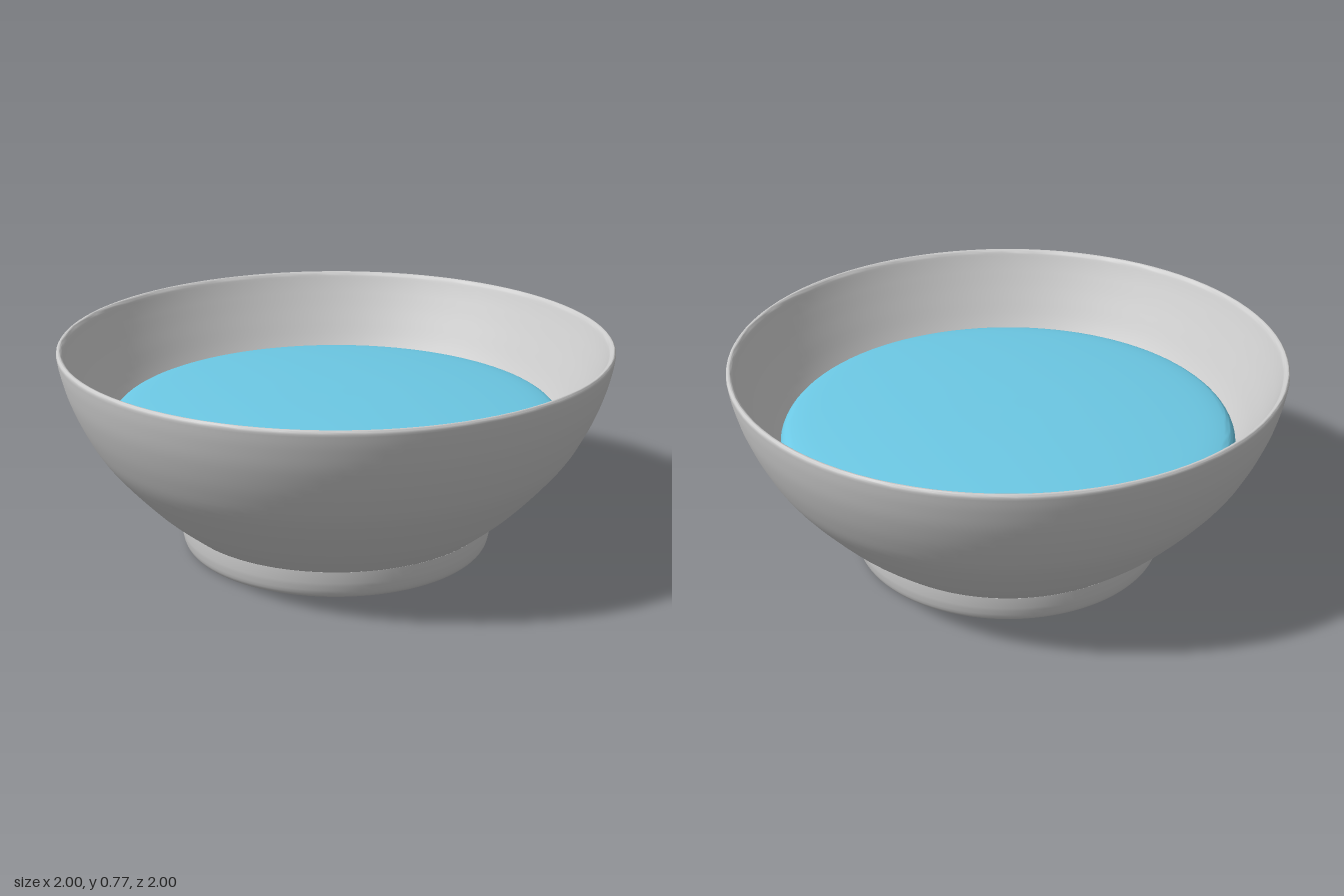
import * as THREE from 'three';
import { toCreasedNormals } from 'three/addons/utils/BufferGeometryUtils.js';

const SIDES = 96;
const v = ([x, y]) => new THREE.Vector2(x, y);
const smooth = (pts, n) => new THREE.SplineCurve(pts.map(v)).getPoints(n);

// Revolve a profile; sharp corners stay crisp
function turned(name, profile, color = 0xcccccc) {
  const geometry = toCreasedNormals(new THREE.LatheGeometry(profile, SIDES), 0.7);
  const mesh = new THREE.Mesh(geometry, new THREE.MeshStandardMaterial({ color }));
  mesh.name = name;
  return mesh;
}

export function createModel() {
  const group = new THREE.Group();
  group.name = 'bowlOfWater';

  // Bowl: rounded outer wall, thin soft rim, inner wall back down
  const outer = smooth([[0.572, 0.105], [0.7, 0.215], [0.845, 0.378], [0.916, 0.495], [0.965, 0.61],
    [0.99, 0.7], [1, 0.757]], 30);
  const rim = smooth([[0.999, 0.764], [0.994, 0.77], [0.986, 0.769], [0.979, 0.761], [0.971, 0.742]], 12);
  const inner = smooth([[0.955, 0.705], [0.904, 0.6], [0.825, 0.46], [0.68, 0.28], [0.42, 0.17], [0, 0.14]], 24);
  group.add(turned('bowl', [v([0, 0.105]), ...outer, ...rim, ...inner]));

  // Foot ring: recessed underside, rounded lip, straight side
  const recess = smooth([[0.485, 0.07], [0.489, 0.045], [0.502, 0.015], [0.523, 0]], 8);
  const lip = smooth([[0.54, 0], [0.555, 0.007], [0.567, 0.026], [0.575, 0.065]], 8);
  group.add(turned('foot', [v([0, 0.07]), ...recess, ...lip, v([0.575, 0.107]), v([0, 0.107])]));

  // Water: gently domed top with a rounded edge
  const surface = smooth([[0.8, 0.43], [0.825, 0.46], [0.824, 0.478], [0.81, 0.499], [0.785, 0.512],
    [0.7, 0.527], [0.5, 0.545], [0.25, 0.557], [0, 0.56]], 36);
  group.add(turned('water', [v([0, 0.43]), ...surface], 0x6cc8e4));

  return group;
}
